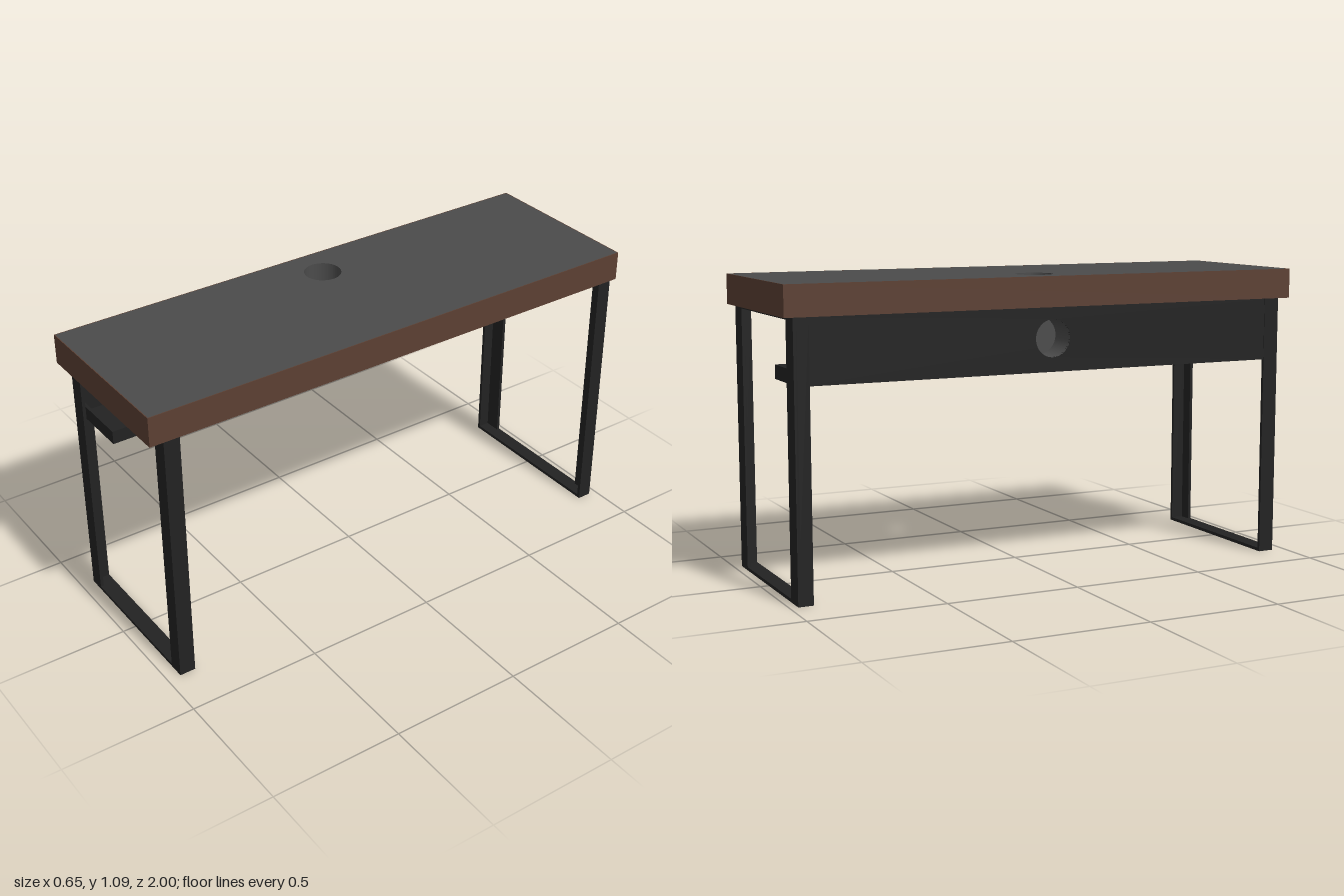
import * as THREE from 'three';

const material = (name, color, side = THREE.FrontSide) => {
  const m = new THREE.MeshStandardMaterial({ color, side });
  m.name = name;
  return m;
};

// Rectangle outline between two corners
function rect(Type, x0, y0, x1, y1) {
  const s = new Type();
  s.moveTo(x0, y0);
  s.lineTo(x1, y0);
  s.lineTo(x1, y1);
  s.lineTo(x0, y1);
  s.closePath();
  return s;
}

const circleHole = (x, y, r) => new THREE.Path().absarc(x, y, r, 0, Math.PI * 2, true);

export function createModel() {
  const desk = new THREE.Group();
  desk.name = 'desk';
  const wood = material('brown edging', 0x5c4033);
  const grey = material('grey top', 0x4b4b4b, THREE.DoubleSide);
  const steel = material('black steel', 0x222222);

  const add = (parent, name, geometry, mat) => {
    const mesh = new THREE.Mesh(geometry, mat);
    mesh.name = name;
    parent.add(mesh);
    return mesh;
  };
  // Box given by its minimum and maximum on each axis
  const box = (parent, name, x0, x1, y0, y1, z0, z1, mat = steel) => {
    const mesh = add(parent, name, new THREE.BoxGeometry(x1 - x0, y1 - y0, z1 - z0), mat);
    mesh.position.set((x0 + x1) / 2, (y0 + y1) / 2, (z0 + z1) / 2);
    return mesh;
  };

  const W = 0.325, underside = 0.975, height = 1.085, edge = 0.003, t = 0.012;
  const holeR = 0.068, holeY = 0.865;

  // Table top with a round cable hole, wrapped by a thin edge band
  const slab = (shape) => new THREE.ExtrudeGeometry(shape, {
    depth: height - underside, bevelEnabled: false, curveSegments: 32,
  }).rotateX(-Math.PI / 2).translate(0, underside, 0);
  const top = rect(THREE.Shape, -W + edge, -1 + edge, W - edge, 1 - edge);
  top.holes.push(circleHole(-0.182, 0.012, holeR));
  add(desk, 'tableTop', slab(top), grey);
  const band = rect(THREE.Shape, -W, -1, W, 1);
  band.holes.push(rect(THREE.Path, -W + edge, -1 + edge, W - edge, 1 - edge));
  add(desk, 'edgeBand', slab(band), wood);

  // Angle-steel leg frames: the L sections open towards the middle
  const frames = [
    { name: 'frontFrame', outer: 0.95, inner: 0.89, legWidth: 0.06 },
    { name: 'backFrame', outer: -0.97, inner: -0.915, legWidth: 0.075 },
  ];
  for (const { name, outer, inner, legWidth } of frames) {
    const frame = new THREE.Group();
    frame.name = name;
    desk.add(frame);
    const z0 = Math.min(outer, inner), z1 = Math.max(outer, inner);
    const plateIn = outer - Math.sign(outer) * t;
    for (const s of [-1, 1]) {
      const span = (a, b) => [Math.min(s * a, s * b), Math.max(s * a, s * b)];
      box(frame, 'legEndPlate', ...span(W - legWidth, W), 0, underside,
        Math.min(outer, plateIn), Math.max(outer, plateIn));
      box(frame, 'legSidePlate', ...span(W - t, W), 0, underside, z0, z1);
    }
    box(frame, 'bottomBar', -W + t, W - t, 0, t, z0, z1);
    box(frame, 'topBar', -W + t, W - t, underside - t, underside, z0, z1);
    box(frame, 'topBarPad', -W + legWidth, W - legWidth, underside - t - 0.002, underside - t,
      z0 + 0.012, z1 - 0.012, grey);
  }

  // Back panel with a round cable opening
  const zBack = -0.955, zFront = 0.932, trayBottom = 0.745, trayTop = 0.795;
  const panel = rect(THREE.Shape, zBack, trayBottom, zFront, underside);
  panel.holes.push(circleHole(-0.008, holeY, holeR));
  add(desk, 'backPanel', new THREE.ExtrudeGeometry(panel, {
    depth: t, bevelEnabled: false, curveSegments: 32,
  }).rotateY(-Math.PI / 2).translate(-0.311, 0, 0), steel);

  // Cup closing the panel opening on the inside
  const cup = new THREE.Group();
  cup.name = 'cableCup';
  cup.position.set(-0.211, holeY, -0.008);
  desk.add(cup);
  add(cup, 'cupWall', new THREE.CylinderGeometry(holeR, holeR, 0.112, 48, 1, true)
    .rotateZ(Math.PI / 2).translate(-0.056, 0, 0), grey);
  add(cup, 'cupEnd', new THREE.CircleGeometry(holeR, 48).rotateY(Math.PI / 2), grey);

  // Cable tray running along the panel
  const tray = new THREE.Group();
  tray.name = 'cableTray';
  desk.add(tray);
  const x0 = -0.311, x1 = -0.08;
  box(tray, 'trayFloor', x0, x1, trayBottom, trayBottom + t, zBack, zFront);
  box(tray, 'trayLip', x1 - t, x1, trayBottom + t, trayTop, zBack, zFront);
  box(tray, 'trayEnd', x0, x1 - t, trayBottom + t, trayTop, zFront - t, zFront);
  box(tray, 'trayEnd', x0, x1 - t, trayBottom + t, trayTop, zBack, zBack + t);

  return desk;
}
